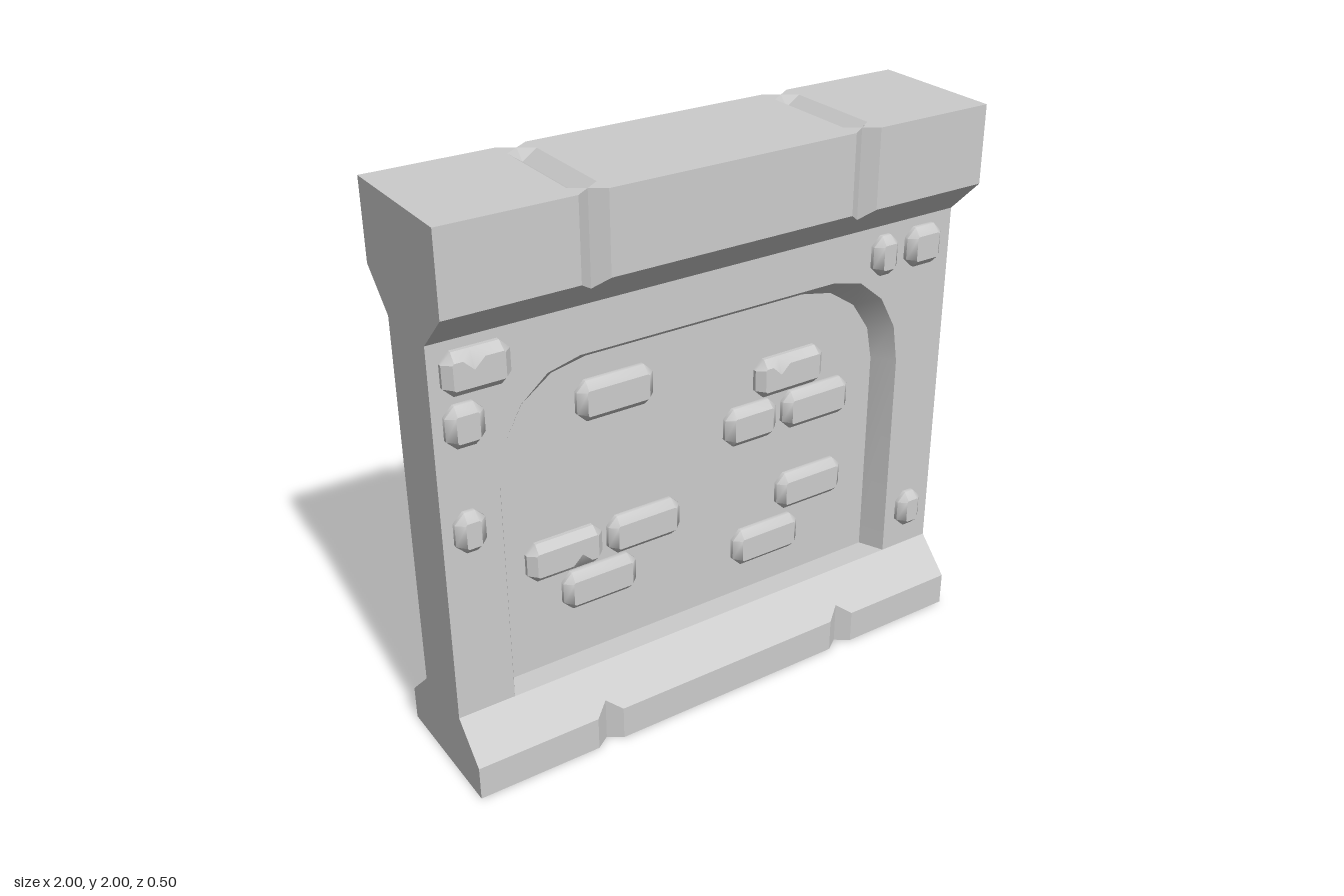
import * as THREE from 'three';
import { toCreasedNormals } from 'three/addons/utils/BufferGeometryUtils.js';

const material = new THREE.MeshStandardMaterial({ color: 0xcccccc, side: THREE.DoubleSide });

function mesh(name, geometry) {
  const m = new THREE.Mesh(geometry, material);
  m.name = name;
  return m;
}

// Skin over rows of [x, y, z] points, creased above the given angle
function skin(rows, crease) {
  const n = rows[0].length, index = [];
  for (let j = 0; j < rows.length - 1; j++) {
    for (let i = 0; i < n - 1; i++) {
      const a = j * n + i, d = a + n;
      index.push(a, d, d + 1, a, d + 1, a + 1);
    }
  }
  const g = new THREE.BufferGeometry();
  g.setAttribute('position', new THREE.Float32BufferAttribute(rows.flat(2), 3));
  g.setIndex(index);
  return toCreasedNormals(g, crease);
}

function flat(points, z = 0) {
  const shape = new THREE.Shape(points.map(([x, y]) => new THREE.Vector2(x, y)));
  return new THREE.ShapeGeometry(shape).translate(0, 0, z);
}

const ring = (points, z) => [...points, points[0]].map(([x, y]) => [x, y, z]);

const HALF = 0.125, CAP = 0.25, CUT = 0.035, FLOOR = 0.035;
const COLUMNS = [-1, -0.55, -0.5, -0.45, 0.45, 0.5, 0.55, 1];
// Row across the width; the groove centres take their own values
const row = (y, z, cutY, cutZ) =>
  COLUMNS.map(x => Math.abs(x) === 0.5 ? [x, cutY, cutZ] : [x, y, z]);

// Arch outline, clockwise from the bottom left, with elliptical shoulders
function arch(halfWidth, top, rx, ry) {
  const left = [[-halfWidth, 0.25]];
  for (let i = 0; i <= 4; i++) {
    const a = i * Math.PI / 8;
    left.push([-halfWidth + rx - rx * Math.cos(a), top - ry + ry * Math.sin(a)]);
  }
  return [...left, ...left.map(([x, y]) => [-x, y]).reverse()];
}

// Brick with cut corners, a bevelled rim and an optional chipped edge
function brick({ x, y, w, h = 0.145, chip, chipBelow }, z) {
  const group = new THREE.Group();
  group.name = 'brick';
  const outline = (inset, k, notch) => {
    const a = w / 2 - inset, b = h / 2 - inset;
    return [[-a + k, b], ...notch, [a - k, b], [a, b - k], [a, -b + k],
      [a - k, -b], [-a + k, -b], [-a, -b + k], [-a, b - k]];
  };
  const chipped = chip !== undefined;
  const c = chipBelow ? -chip : chip;
  const topOuter = h / 2, topInner = h / 2 - 0.027;
  const outerNotch = chipped ? [[c, topOuter], [c, topOuter], [c, topOuter]] : [];
  const innerNotch = chipped
    ? [[c - 0.036, topInner], [c, topInner - 0.035], [c + 0.036, topInner]] : [];
  const outer = outline(0, 0.034, outerNotch);
  const inner = outline(0.027, 0.005, innerNotch);
  group.add(
    mesh('brickRim', skin([ring(outer, 0), ring(outer, 0.014), ring(inner, 0.04)], chipped ? 0.6 : 0.85)),
    mesh('brickFace', flat(inner, 0.04)));
  group.position.set(x, y, z);
  if (chipBelow) group.rotation.z = Math.PI;
  return group;
}

const WALL_BRICKS = [
  { x: -0.85, y: 1.495, w: 0.225, chip: -0.016 },
  { x: -0.9, y: 1.32, w: 0.13 },
  { x: -0.91, y: 0.95, w: 0.105 },
  { x: 0.7, y: 1.495, w: 0.105 },
  { x: 0.87, y: 1.495, w: 0.15 },
  { x: 0.895, y: 0.415, w: 0.105 },
];
const RECESS_BRICKS = [
  { x: -0.33, y: 1.225, w: 0.285 },
  { x: 0.37, y: 1.107, w: 0.285, chip: -0.05 },
  { x: 0.21, y: 0.95, w: 0.215 },
  { x: 0.49, y: 0.95, w: 0.285 },
  { x: -0.54, y: 0.685, w: 0.285, chip: 0.053, chipBelow: true },
  { x: -0.23, y: 0.685, w: 0.285 },
  { x: -0.41, y: 0.525, w: 0.285 },
  { x: 0.475, y: 0.62, w: 0.285 },
  { x: 0.285, y: 0.445, w: 0.285 },
];

function createSide(name) {
  const side = new THREE.Group();
  side.name = name;

  // Top beam: grooved top, grooved front and sloped underside
  side.add(mesh('topBeam', skin([
    row(2, 0, 2 - CUT, 0),
    row(2, 0.18, 2 - CUT, 0.18),
    row(2, 0.18, 2, CAP - CUT),
    row(2, CAP, 2, CAP - CUT),
    row(1.725, CAP, 1.725 - CUT, CAP - CUT),
    row(1.6, HALF, 1.6, HALF),
  ], 0.3)));

  // Plinth: slope and grooved front, open underneath
  side.add(mesh('plinth', skin([
    row(0.25, HALF, 0.25, HALF),
    row(0.125, CAP, 0.125 + CUT, CAP - CUT),
    row(0, CAP, 0, CAP - CUT),
  ], 0.3)));

  // Wall face around the arched recess
  const outer = arch(0.795, 1.435, 0.3, 0.375);
  const inner = arch(0.752, 1.378, 0.325, 0.33);
  side.add(
    mesh('wallFace', flat([[-1, 0.25], [-1, 1.6], [1, 1.6], [1, 0.25], ...[...outer].reverse()], HALF)),
    mesh('archBevel', skin([ring(outer, HALF), ring(inner, FLOOR)], 0.6)),
    mesh('recessPanel', flat(inner, FLOOR)));

  // End faces
  const profile = [[0, 0], [CAP, 0], [CAP, 0.125], [HALF, 0.25], [HALF, 1.6], [CAP, 1.725], [CAP, 2], [0, 2]];
  for (const s of [-1, 1]) {
    const end = mesh('endFace', flat(profile.map(([z, y]) => [-s * z, y])));
    end.rotation.y = s * Math.PI / 2;
    end.position.x = s;
    side.add(end);
  }

  for (const b of WALL_BRICKS) side.add(brick(b, HALF));
  for (const b of RECESS_BRICKS) side.add(brick(b, FLOOR));
  return side;
}

export function createModel() {
  const model = new THREE.Group();
  model.name = 'stoneWall';
  const back = createSide('backSide');
  back.rotation.y = Math.PI;
  model.add(createSide('frontSide'), back);
  return model;
}
